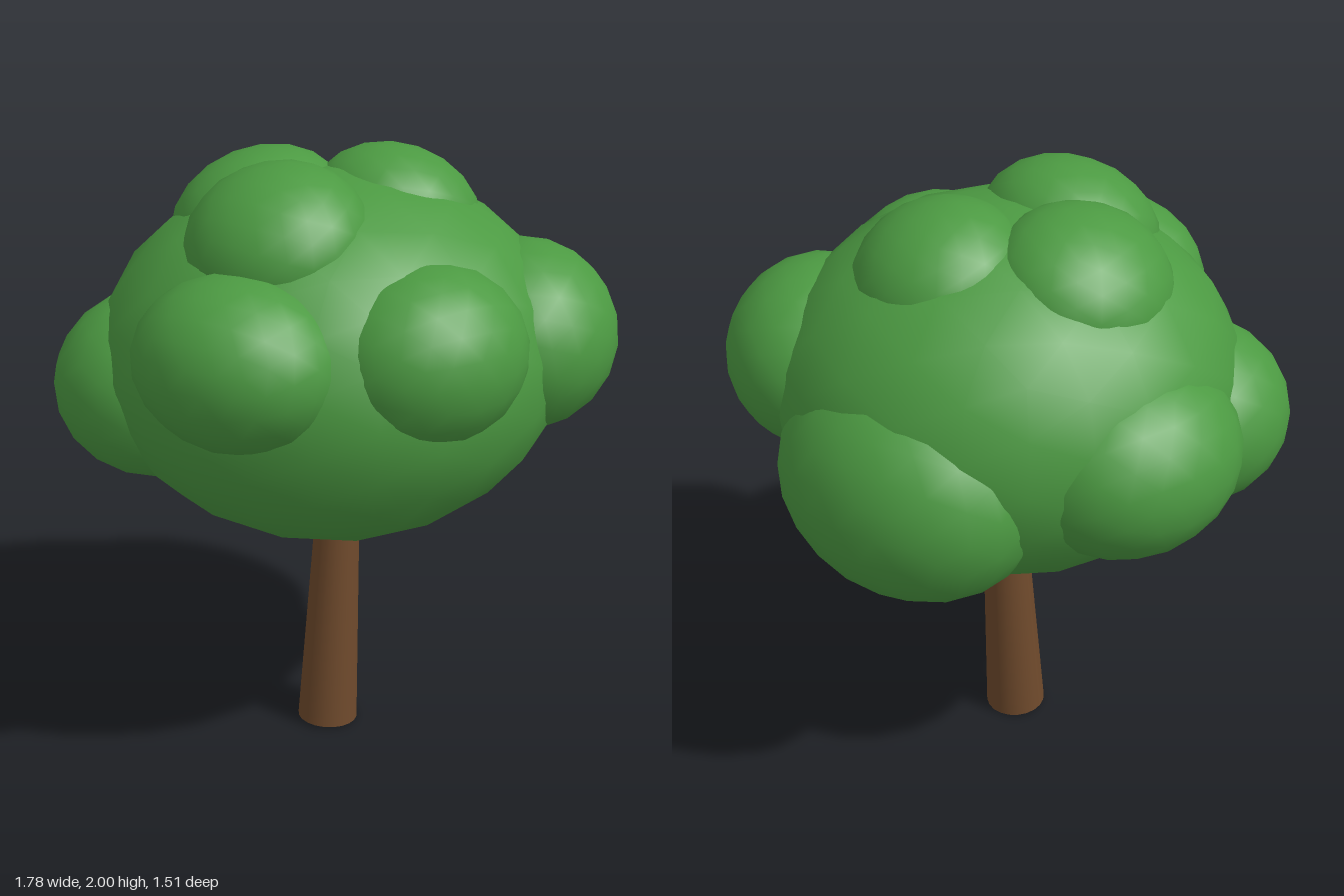
import * as THREE from 'three';

export function createModel() {
  const tree = new THREE.Group();
  tree.name = 'tree';
  const leafGreen = new THREE.MeshStandardMaterial({ color: 0x4c9a42 });
  leafGreen.name = 'leaf green';
  const barkBrown = new THREE.MeshStandardMaterial({ color: 0x6f4a2c });
  barkBrown.name = 'bark brown';

  // Tapered limb running between two points
  function limb(name, from, to, r0, r1) {
    const a = new THREE.Vector3(...from);
    const b = new THREE.Vector3(...to);
    const dir = b.clone().sub(a);
    const mesh = new THREE.Mesh(new THREE.CylinderGeometry(r1, r0, dir.length(), 20), barkBrown);
    mesh.name = name;
    mesh.position.copy(a).add(b).multiplyScalar(0.5);
    mesh.quaternion.setFromUnitVectors(new THREE.Vector3(0, 1, 0), dir.normalize());
    tree.add(mesh);
  }
  limb('trunk', [-0.028, 0.006, 0.02], [0.028, 1.1, -0.01], 0.101, 0.061);
  limb('branch', [0.02, 0.63, 0.01], [-0.26, 1.06, 0.1], 0.035, 0.025);

  // Rounded foliage mass, stretched to its radii
  const ball = new THREE.IcosahedronGeometry(1, 3);
  function foliage(name, centre, radii) {
    const mesh = new THREE.Mesh(ball, leafGreen);
    mesh.name = name;
    mesh.position.set(...centre);
    mesh.scale.set(...radii);
    tree.add(mesh);
    return mesh;
  }
  // Clump facing away from the trunk axis and pitched upward; radii are outward, up, sideways
  function clump(name, centre, radii, pitch) {
    const yaw = Math.atan2(-centre[2], centre[0]);
    foliage(name, centre, radii).rotation.set(0, yaw, pitch, 'YXZ');
  }
  foliage('crown', [0, 1.338, -0.005], [0.75, 0.592, 0.705]);

  // Clumps around the sides
  clump('frontRightClump', [-0.37, 1.475, 0.42], [0.285, 0.27, 0.335], 0.25);
  clump('frontLeftClump', [0.185, 1.47, 0.445], [0.3, 0.285, 0.33], 0.25);
  clump('leftClump', [0.58, 1.4, 0.12], [0.31, 0.305, 0.345], 0.2);
  clump('backLeftClump', [0.335, 1.208, -0.37], [0.34, 0.375, 0.445], 0);
  clump('backRightClump', [-0.33, 1.285, -0.405], [0.33, 0.308, 0.375], 0);
  clump('rightClump', [-0.56, 1.24, -0.085], [0.333, 0.305, 0.325], 0);

  // Clumps lying against the top of the crown
  clump('topFrontClump', [-0.21, 1.765, 0.18], [0.225, 0.285, 0.295], 1.15);
  clump('topBackClump', [-0.21, 1.74, -0.165], [0.225, 0.285, 0.305], 1.15);
  clump('topLeftClump', [0.215, 1.75, -0.09], [0.225, 0.28, 0.285], 1.18);
  return tree;
}
